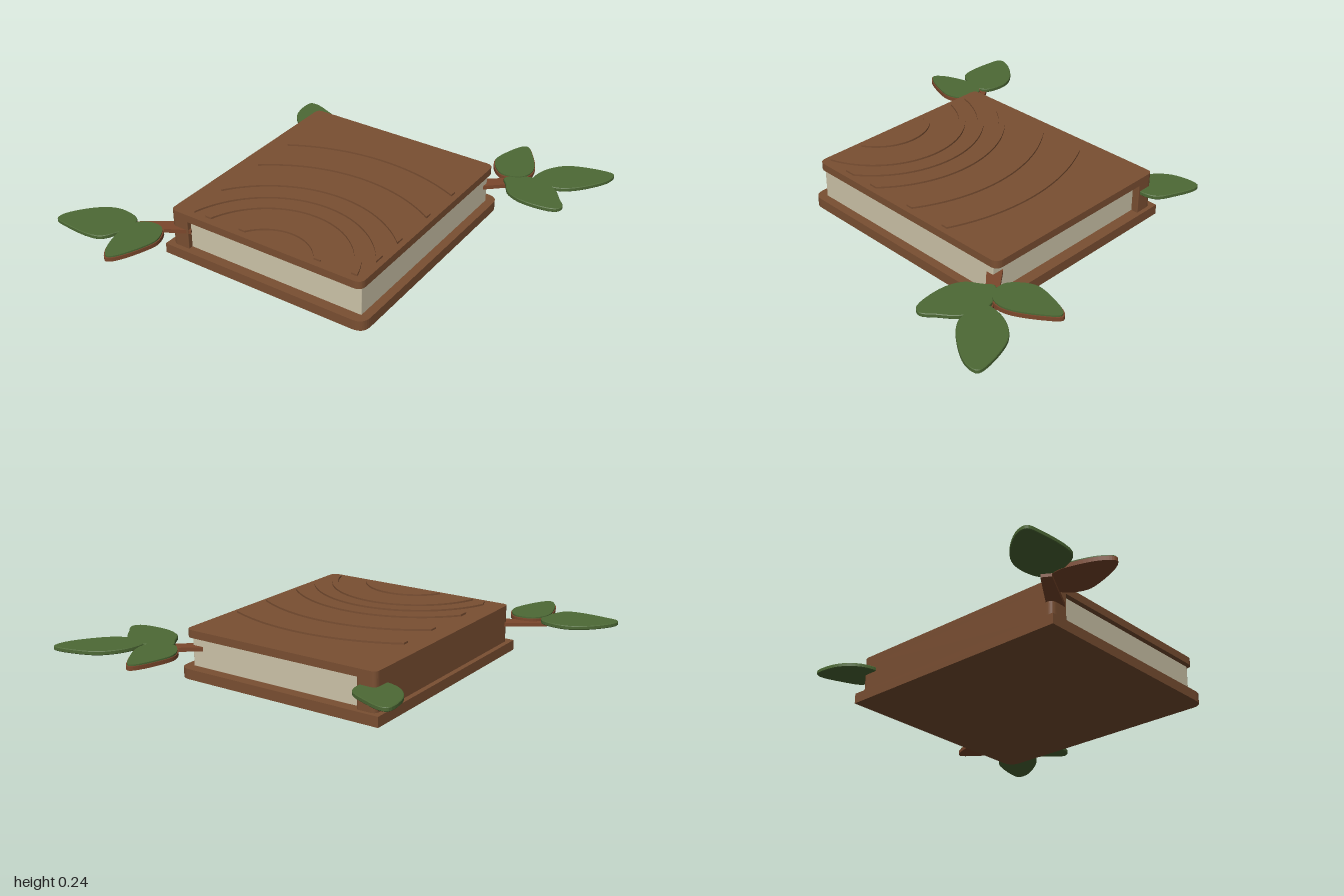
import * as THREE from 'three';

const mat = (name, color, side = THREE.FrontSide) => {
  const m = new THREE.MeshStandardMaterial({ color, side });
  m.name = name;
  return m;
};

export function createModel() {
  const book = new THREE.Group();
  book.name = 'book';
  const bark = mat('bark brown', 0x7a4f32);
  const twigBrown = mat('twig brown', 0x7c482c);
  const paper = mat('paper', 0xcdc4a9);
  const green = mat('leaf green', 0x4d6935);

  // Extrudes a plan outline (x, -z) upward from y0 to y1
  function slab(name, shape, y0, y1, material, bevel = 0) {
    const geo = new THREE.ExtrudeGeometry(shape, {
      depth: y1 - y0 - 2 * bevel, curveSegments: 8,
      bevelEnabled: bevel > 0, bevelThickness: bevel, bevelSize: bevel,
      bevelOffset: -bevel, bevelSegments: 1,
    });
    geo.rotateX(-Math.PI / 2).translate(0, y0 + bevel, 0);
    const mesh = new THREE.Mesh(geo, material);
    mesh.name = name;
    book.add(mesh);
    return mesh;
  }

  // Rectangle in plan with separate corner radii on the spine and opening sides
  function plate(x0, x1, z0, z1, rl, rr) {
    const s = new THREE.Shape();
    const a = -z1, b = -z0;
    s.moveTo(x0 + rl, a);
    s.lineTo(x1 - rr, a).quadraticCurveTo(x1, a, x1, a + rr);
    s.lineTo(x1, b - rr).quadraticCurveTo(x1, b, x1 - rr, b);
    s.lineTo(x0 + rl, b);
    if (rl) s.quadraticCurveTo(x0, b, x0, b - rl);
    s.lineTo(x0, a + rl);
    if (rl) s.quadraticCurveTo(x0, a, x0 + rl, a);
    return s;
  }

  // Covers, spine and page block
  slab('bottomCover', plate(-0.56, 0.54, -0.62, 0.61, 0, 0.06), 0, 0.05, bark);
  slab('topCover', plate(-0.535, 0.51, -0.6, 0.585, 0.03, 0.04), 0.197, 0.235, bark);
  slab('spine', plate(-0.535, -0.44, -0.6, 0.585, 0.03, 0.005), 0.05, 0.2, bark);
  slab('pages', plate(-0.45, 0.497, -0.565, 0.56, 0, 0.005), 0.045, 0.2, paper);

  // Concentric wood-grain ridges, clipped to the cover field
  const cx = 0.055, cz = 0.67, zMax = 0.55;
  function arc(r) {
    const reach = Math.sqrt(r * r - (cz - zMax) ** 2);
    const a0 = Math.asin(Math.max(-0.495, -reach) / r);
    const a1 = Math.asin(Math.min(0.425, reach) / r);
    return Array.from({ length: 33 }, (_, i) => {
      const a = a0 + (a1 - a0) * i / 32;
      return new THREE.Vector2(cx + r * Math.sin(a), r * Math.cos(a) - cz);
    });
  }
  for (const r of [0.253, 0.43, 0.523, 0.63, 0.827, 1.028]) {
    const band = new THREE.Shape([...arc(r), ...arc(r - 0.031).reverse()]);
    slab('grainRidge', band, 0.23, 0.244, bark);
  }

  // Leaf outlines as smooth closed curves through [x, z] points
  function outline(points, scale = 1) {
    const curve = new THREE.CatmullRomCurve3(
      points.map(([x, z]) => new THREE.Vector3(x, -z, 0)), true, 'centripetal');
    const pts = curve.getPoints(48).slice(0, -1);
    const c = pts.reduce((s, p) => s.add(p), new THREE.Vector3()).divideScalar(pts.length);
    return new THREE.Shape(pts.map(p => {
      p.sub(c).multiplyScalar(scale).add(c);
      return new THREE.Vector2(p.x, p.y);
    }));
  }
  const greenLeaves = {
    frontOuterLeaf: [[-0.69, 0.65], [-0.81, 0.63], [-0.905, 0.68], [-1, 0.81], [-0.998, 0.855],
      [-0.94, 0.87], [-0.735, 0.863], [-0.685, 0.79], [-0.665, 0.7]],
    backOuterLeaf: [[0.68, -0.69], [0.675, -0.775], [0.715, -0.865], [0.78, -0.925], [0.955, -0.973],
      [0.99, -0.965], [0.99, -0.9], [0.915, -0.775], [0.85, -0.71], [0.795, -0.685]],
    backSideLeaf: [[0.555, -0.635], [0.62, -0.695], [0.68, -0.715], [0.795, -0.685], [0.865, -0.605],
      [0.905, -0.55], [0.885, -0.51], [0.725, -0.49], [0.63, -0.525], [0.585, -0.59]],
    spineLeaf: [[-0.695, -0.75], [-0.665, -0.763], [-0.56, -0.73], [-0.47, -0.68], [-0.45, -0.61],
      [-0.47, -0.53], [-0.53, -0.51], [-0.62, -0.54], [-0.685, -0.625]],
  };
  for (const [name, pts] of Object.entries(greenLeaves))
    slab(name, outline(pts), 0.145, 0.165, green, 0.003);

  // Leaves with a brown underside and a green upper face
  const twoToneLeaves = {
    frontInnerLeaf: [[-0.64, 0.65], [-0.54, 0.64], [-0.485, 0.73], [-0.5, 0.82], [-0.56, 0.95],
      [-0.59, 0.97], [-0.63, 0.93], [-0.67, 0.83], [-0.685, 0.73]],
    backInnerLeaf: [[0.49, -0.965], [0.44, -0.83], [0.435, -0.76], [0.47, -0.695], [0.53, -0.65],
      [0.62, -0.67], [0.65, -0.73], [0.64, -0.8], [0.565, -0.925], [0.515, -0.978]],
  };
  for (const [name, pts] of Object.entries(twoToneLeaves)) {
    slab(name + 'Underside', outline(pts), 0.143, 0.162, twigBrown);
    slab(name + 'Face', outline(pts, 0.955), 0.161, 0.169, green);
  }

  // Flat tapering twigs growing out of the page corners
  function twig(name, [x0, z0], [x1, z1], w0, w1) {
    const dir = new THREE.Vector2(x1 - x0, z0 - z1).normalize();
    const n = new THREE.Vector2(-dir.y, dir.x);
    const at = (x, z, w) => new THREE.Vector2(x, -z).addScaledVector(n, w);
    slab(name, new THREE.Shape([at(x0, z0, -w0), at(x1, z1, -w1), at(x1, z1, w1), at(x0, z0, w0)]),
      0.13, 0.15, twigBrown);
  }
  twig('frontTwig', [-0.45, 0.54], [-0.695, 0.69], 0.04, 0.024);
  twig('backTwig', [0.46, -0.54], [0.6, -0.66], 0.035, 0.028);
  twig('backTwigTip', [0.58, -0.645], [0.715, -0.73], 0.028, 0.02);

  return book;
}
